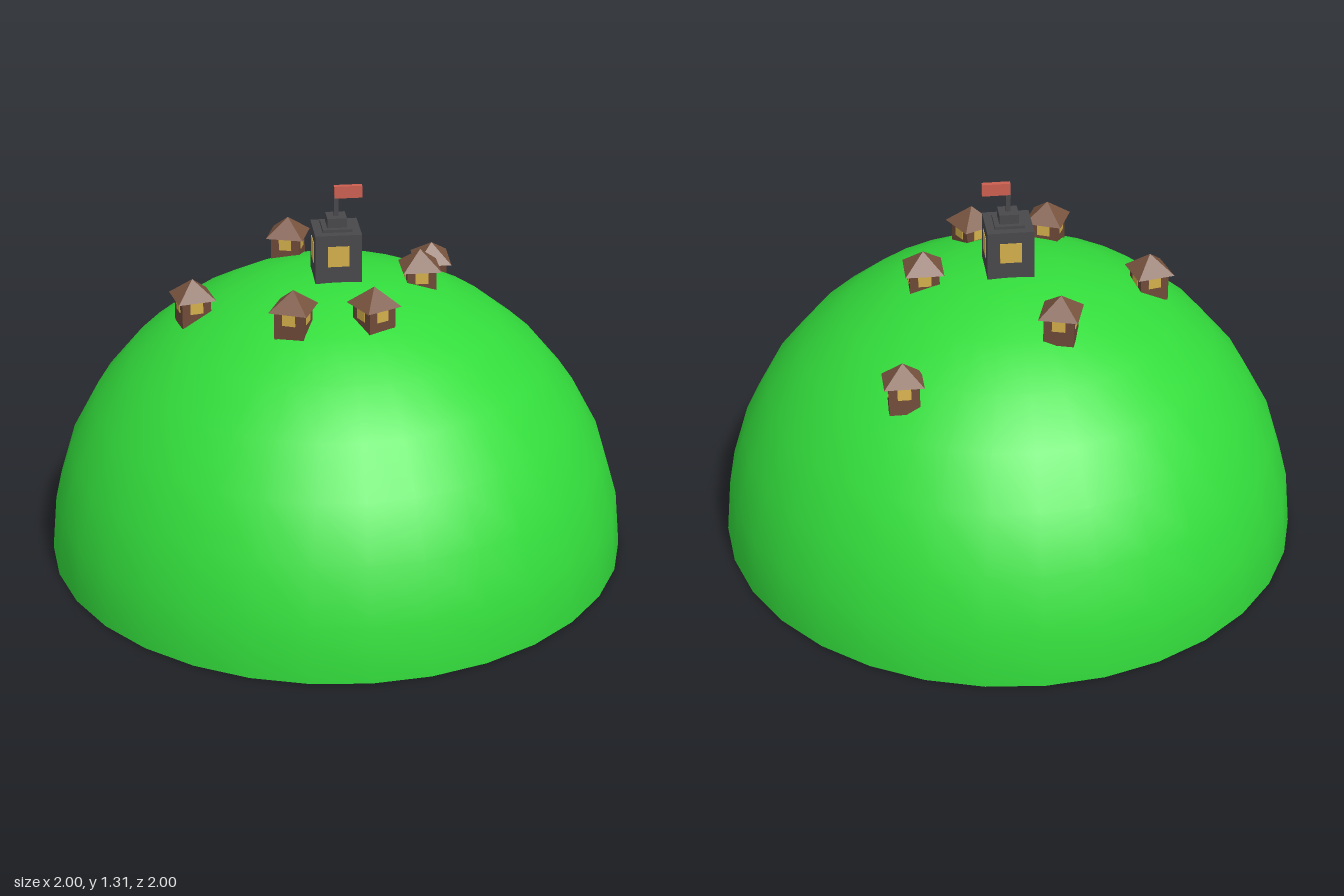
import * as THREE from 'three';

const paint = (color, flat = true) => new THREE.MeshStandardMaterial({ color, flatShading: flat });
const stone = paint(0x48484c), wall = paint(0x6e4a38), tile = paint(0x7a5540);
const glow = paint(0xd4b04c), red = paint(0xcc5f50);

function add(parent, name, geometry, material, x = 0, y = 0, z = 0) {
  const mesh = new THREE.Mesh(geometry, material);
  mesh.name = name;
  mesh.position.set(x, y, z);
  parent.add(mesh);
  return mesh;
}

// Lit windows on all four faces of a square building
function addWindows(parent, size, wallWidth, y) {
  const depth = 0.004;
  for (let i = 0; i < 4; i++) {
    const a = (i * Math.PI) / 2, r = wallWidth / 2;
    const pane = add(parent, 'window', new THREE.BoxGeometry(size, size, depth), glow,
      Math.sin(a) * r, y, Math.cos(a) * r);
    pane.rotation.y = a;
  }
}

// Square hut with a pyramid roof; its origin is the roof apex
function hut(x, apexY, z, yaw, tilt = 0) {
  const g = new THREE.Group();
  g.name = 'hut';
  add(g, 'hutWalls', new THREE.BoxGeometry(0.1, 0.1, 0.1), wall, 0, -0.11, 0);
  const roof = new THREE.ConeGeometry(0.065 * Math.SQRT2, 0.063, 4).rotateY(Math.PI / 4);
  add(g, 'hutRoof', roof, tile, 0, -0.0315, 0);
  addWindows(g, 0.044, 0.1, -0.085);
  g.position.set(x, apexY, z);
  g.rotation.set(tilt, yaw, 0);
  return g;
}

// Stepped tower with a flag on the summit
function tower() {
  const g = new THREE.Group();
  g.name = 'tower';
  const steps = [[0.157, 0.96, 1.16], [0.1, 1.16, 1.17], [0.066, 1.17, 1.203], [0.016, 1.203, 1.305]];
  const names = ['towerBody', 'towerStep', 'towerTop', 'flagPole'];
  steps.forEach(([w, y0, y1], i) =>
    add(g, names[i], new THREE.BoxGeometry(w, y1 - y0, w), stone, 0, (y0 + y1) / 2, 0));
  addWindows(g, 0.072, 0.157, 1.085);
  add(g, 'flag', new THREE.BoxGeometry(0.094, 0.042, 0.018), red, 0.04, 1.286, 0);
  return g;
}

export function createModel() {
  const model = new THREE.Group();
  model.name = 'hillVillage';

  // Hollow half-sphere hill, open underneath
  const grass = paint(0x33dd3c, false);
  grass.side = THREE.DoubleSide;
  add(model, 'hill', new THREE.SphereGeometry(1, 32, 8, 0, Math.PI * 2, 0, Math.PI / 2), grass);

  // Huts around the summit: x, apex height, z, yaw, tilt
  const huts = [
    [0.286, 1.068, 0, 0], [0.396, 0.91, -0.447, 0, 0.1], [-0.13, 1.068, -0.35, -0.3],
    [-0.487, 1.0, 0.013, 0.21], [-0.175, 1.068, 0.305, -0.4], [0.09, 1.068, 0.305, 0.46],
  ];
  huts.forEach((h) => model.add(hut(...h)));
  model.add(tower());
  return model;
}
